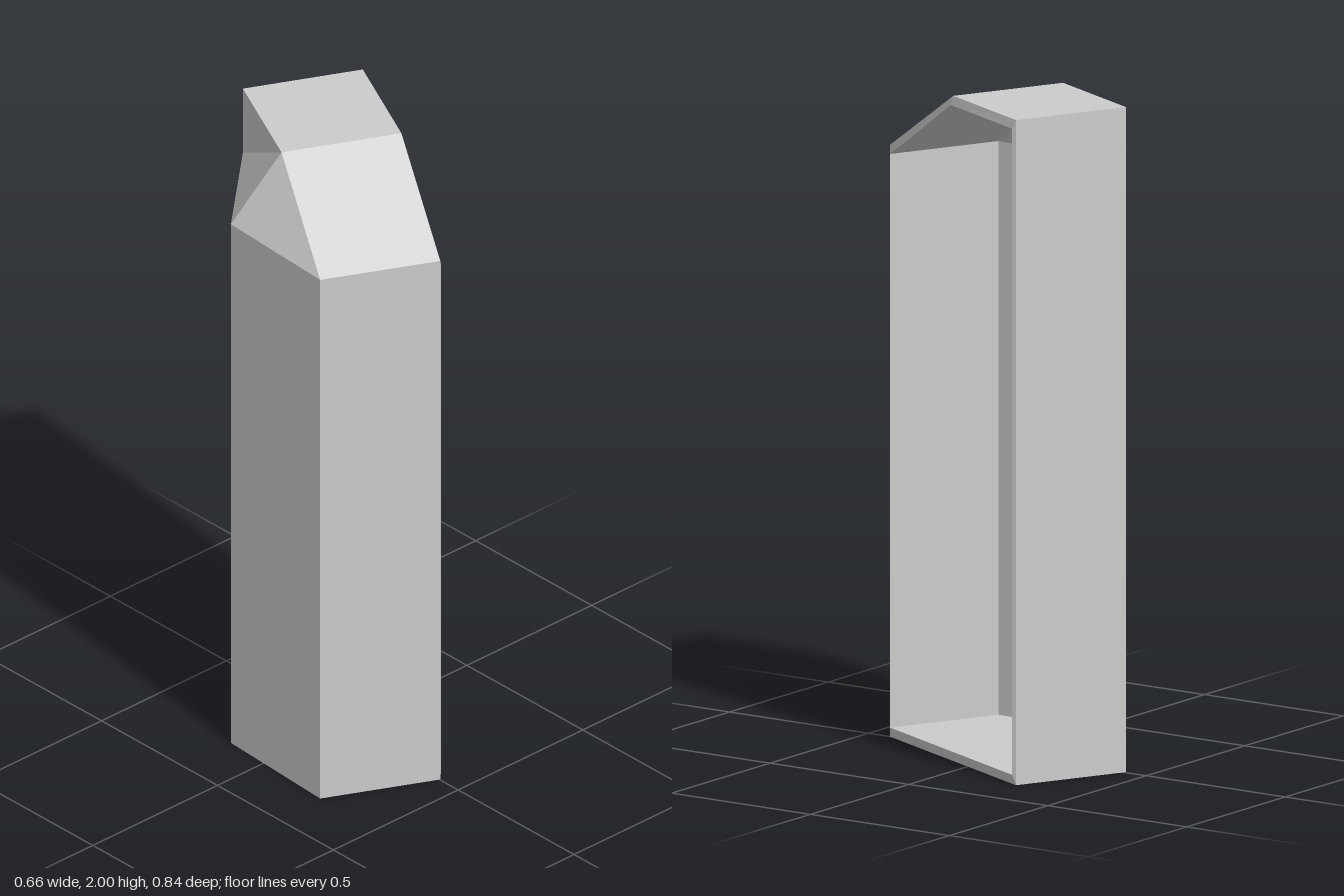
import * as THREE from 'three';

const CENTRE = new THREE.Vector3(0, 1, 0);

// Flat-faced geometry from convex polygons, turned away from (or towards) the middle
function facets(polygons, inward = false) {
  const out = [];
  for (const poly of polygons) {
    const p = poly.map((c) => new THREE.Vector3(...c));
    const n = new THREE.Triangle(p[0], p[1], p[2]).getNormal(new THREE.Vector3());
    const facesOut = n.dot(p[0].clone().sub(CENTRE)) > 0;
    if (facesOut === inward) p.reverse();
    for (let i = 1; i < p.length - 1; i++) {
      for (const v of [p[0], p[i], p[i + 1]]) out.push(v.x, v.y, v.z);
    }
  }
  const g = new THREE.BufferGeometry();
  g.setAttribute('position', new THREE.Float32BufferAttribute(out, 3));
  g.computeVertexNormals();
  return g;
}

// Five-cornered plan [x, z] raised between a floor, an eave and a ridge height
function cabinetSkin(plan, fold, floorY, eaveY, ridgeY) {
  const at = ([x, z], y) => [x, y, z];
  const [a, b, c, d, e] = plan.map((p) => at(p, floorY));
  const [aE, , cE, dE, eE] = plan.map((p) => at(p, eaveY));
  const aR = at(plan[0], ridgeY), bR = at(plan[1], ridgeY);
  const fR = at(fold[0], ridgeY), fL = at(fold[1], ridgeY);
  return {
    floor: [[a, b, c, d, e]],
    walls: [[a, b, bR, aR], [c, d, dE, cE], [d, e, eE, dE], [e, a, aE, eE]],
    roof: [[aR, bR, fR, fL], [fL, fR, cE, dE]],
    sideRoof: [[fL, dE, eE], [fL, eE, aE], [aR, fL, aE]],
    opening: [b, bR, fR, cE, c],
  };
}

export function createModel() {
  const group = new THREE.Group();
  const material = new THREE.MeshStandardMaterial({
    color: 0xcccccc, flatShading: true, side: THREE.DoubleSide,
  });
  const add = (name, geometry) => {
    const mesh = new THREE.Mesh(geometry, material);
    mesh.name = name;
    group.add(mesh);
  };

  const outer = cabinetSkin(
    [[-0.005, -0.423], [0.327, -0.263], [0.002, 0.421], [-0.33, 0.26], [-0.307, -0.15]],
    [[0.164, 0.079], [-0.168, -0.081]], 0, 1.78, 2);
  const inner = cabinetSkin(
    [[0.002, -0.408], [0.329, -0.25], [0.012, 0.414], [-0.316, 0.257], [-0.292, -0.135]],
    [[0.169, 0.084], [-0.157, -0.073]], 0.03, 1.755, 1.973);

  // Outside and inside skins
  for (const part of ['floor', 'walls', 'roof', 'sideRoof']) {
    add(part + 'Outside', facets(outer[part]));
    add(part + 'Inside', facets(inner[part], true));
  }

  // Narrow frame around the open side
  const o = outer.opening, n = inner.opening;
  const rim = o.map((p, i) => {
    const j = (i + 1) % o.length;
    return [p, o[j], n[j], n[i]];
  });
  add('openingRim', facets(rim));

  return group;
}
